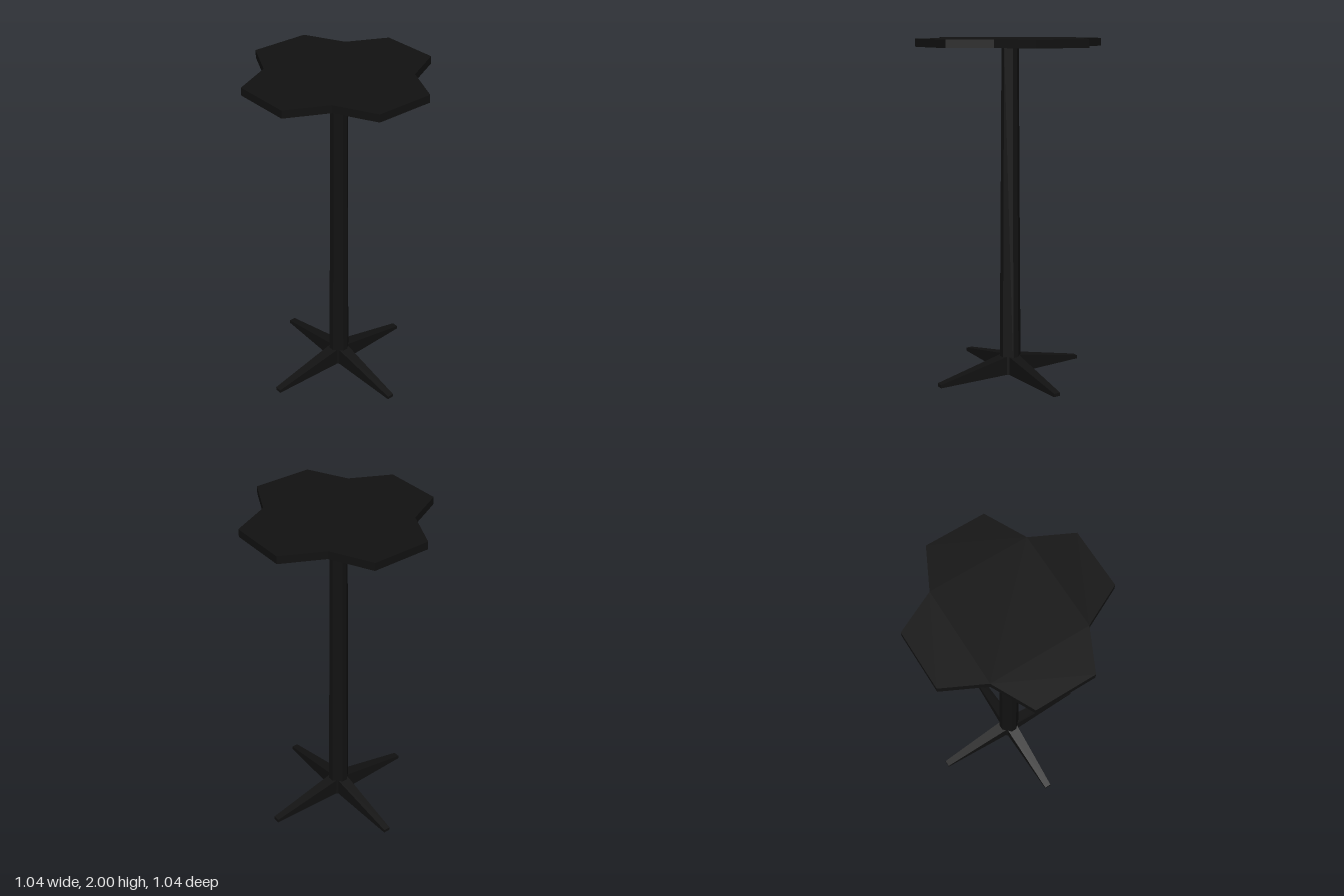
import * as THREE from 'three';

const material = new THREE.MeshStandardMaterial({ color: 0x111111 });

// Repeat a few corner points four times around the centre, as a closed shape
function fourfoldShape(points) {
  const outline = [];
  for (let i = 0; i < 4; i++) {
    for (const [x, y] of points) {
      outline.push(new THREE.Vector2(x, y).rotateAround(new THREE.Vector2(), i * Math.PI / 2));
    }
  }
  return new THREE.Shape(outline);
}

// Upright prism standing on y = 0
function prism(shape, height) {
  const geometry = new THREE.ExtrudeGeometry(shape, { depth: height, bevelEnabled: false });
  return geometry.rotateX(-Math.PI / 2);
}

// Move every vertex by a rule, then rebuild flat normals
function reshape(source, rule) {
  const geometry = source.index ? source.toNonIndexed() : source;
  const position = geometry.attributes.position;
  const v = new THREE.Vector3();
  for (let i = 0; i < position.count; i++) {
    rule(v.fromBufferAttribute(position, i));
    position.setXYZ(i, v.x, v.y, v.z);
  }
  geometry.computeVertexNormals();
  return geometry;
}

export function createModel() {
  const model = new THREE.Group();
  const add = (name, geometry) => {
    const mesh = new THREE.Mesh(geometry, material);
    mesh.name = name;
    model.add(mesh);
    return mesh;
  };

  // Cross-shaped top with four flared lobes
  const topShape = fourfoldShape([[0.52, -0.173], [0.52, 0.173], [0.288, 0.288]]);
  add('tableTop', prism(topShape, 0.045)).position.y = 1.955;

  // Slightly tapered eight-sided column
  const columnHeight = 1.96;
  const columnShape = fourfoldShape([[0.064, -0.018], [0.064, 0.018]]);
  add('column', reshape(prism(columnShape, columnHeight), (v) => {
    const scale = 1 - 0.22 * v.y / columnHeight;
    v.x *= scale;
    v.z *= scale;
  }));

  // Four feet, sloping down and narrowing towards their tips
  const length = 0.49;
  const footGeometry = reshape(new THREE.BoxGeometry(length, 1, 1).translate(length / 2, 0.5, 0), (v) => {
    const t = v.x / length;
    v.y *= THREE.MathUtils.lerp(0.122, 0.02, t);
    v.z *= THREE.MathUtils.lerp(0.074, 0.04, t);
  });
  ['leftFoot', 'backFoot', 'rightFoot', 'frontFoot'].forEach((name, i) => {
    add(name, footGeometry).rotation.y = i * Math.PI / 2;
  });

  return model;
}
